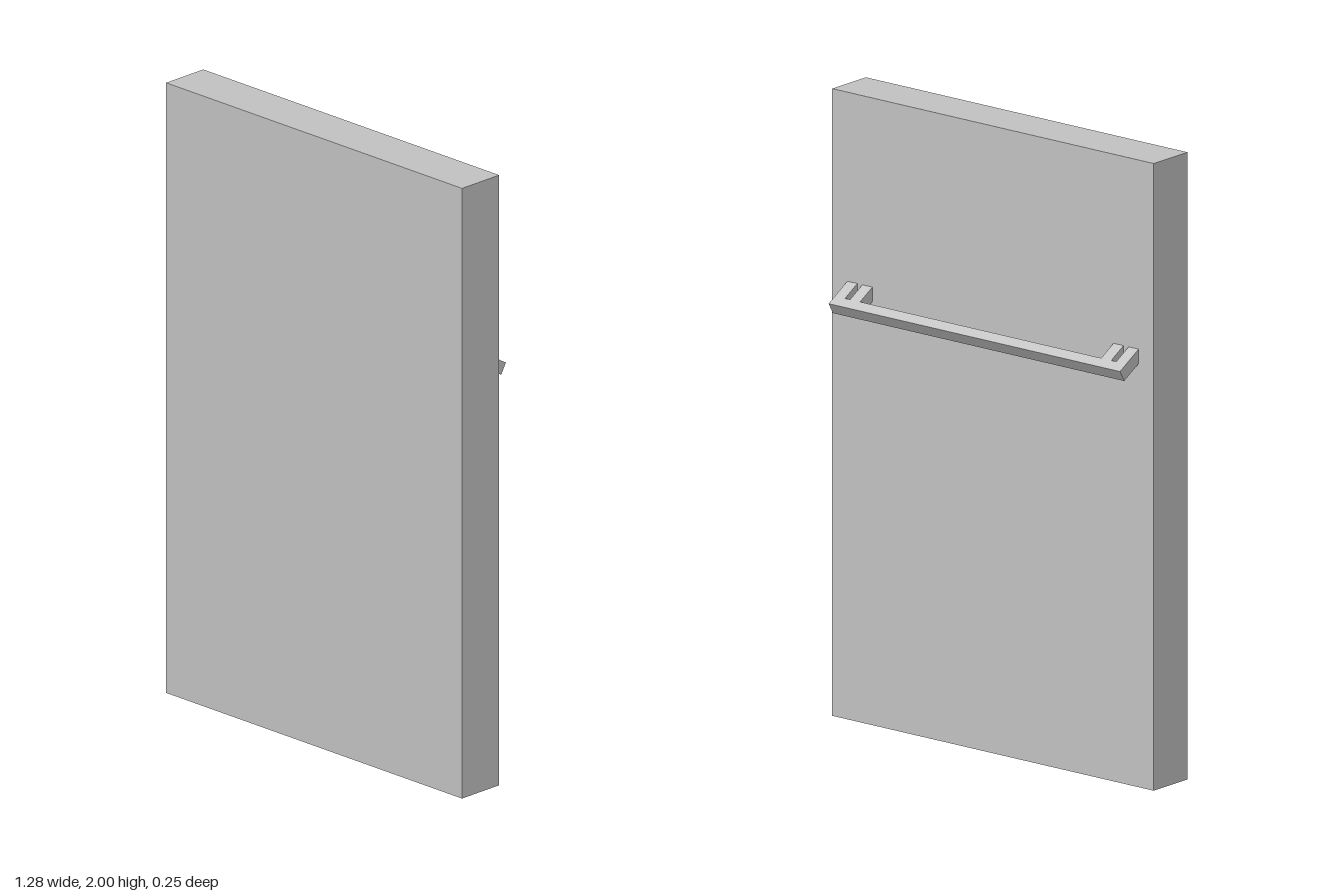
import * as THREE from 'three';

export function createModel() {
  const group = new THREE.Group();
  const grey = new THREE.MeshStandardMaterial({ color: 0xc4c4c4 });
  grey.name = 'light grey';

  // Flat door panel
  const panelBack = -0.036, panelFront = 0.125;
  const panel = new THREE.Mesh(new THREE.BoxGeometry(1.28, 2, panelFront - panelBack), grey);
  panel.name = 'panel';
  panel.position.set(0, 1, (panelFront + panelBack) / 2);
  group.add(panel);

  // Handle outline: a long bar with a pair of legs at each end
  const reach = 0.103, barInner = 0.068, thickness = 0.04;
  const half = [
    [0.58, reach], [0.58, 0], [0.54, 0], [0.54, barInner],
    [0.52, barInner], [0.52, 0], [0.48, 0], [0.48, barInner],
  ];
  const mirrored = half.map(([x, s]) => [-x, s]).reverse();
  const outline = new THREE.Shape([...half, ...mirrored].map(([x, s]) => new THREE.Vector2(x, s)));
  const handleGeometry = new THREE.ExtrudeGeometry(outline, { depth: thickness, bevelEnabled: false });
  handleGeometry.translate(0, 0, -thickness);

  // Slopes down and away from the panel at 30 degrees
  const handle = new THREE.Mesh(handleGeometry, grey);
  handle.name = 'handle';
  handle.rotation.x = -Math.PI * 2 / 3;
  handle.position.set(0, 1.397, panelBack);
  group.add(handle);

  return group;
}
